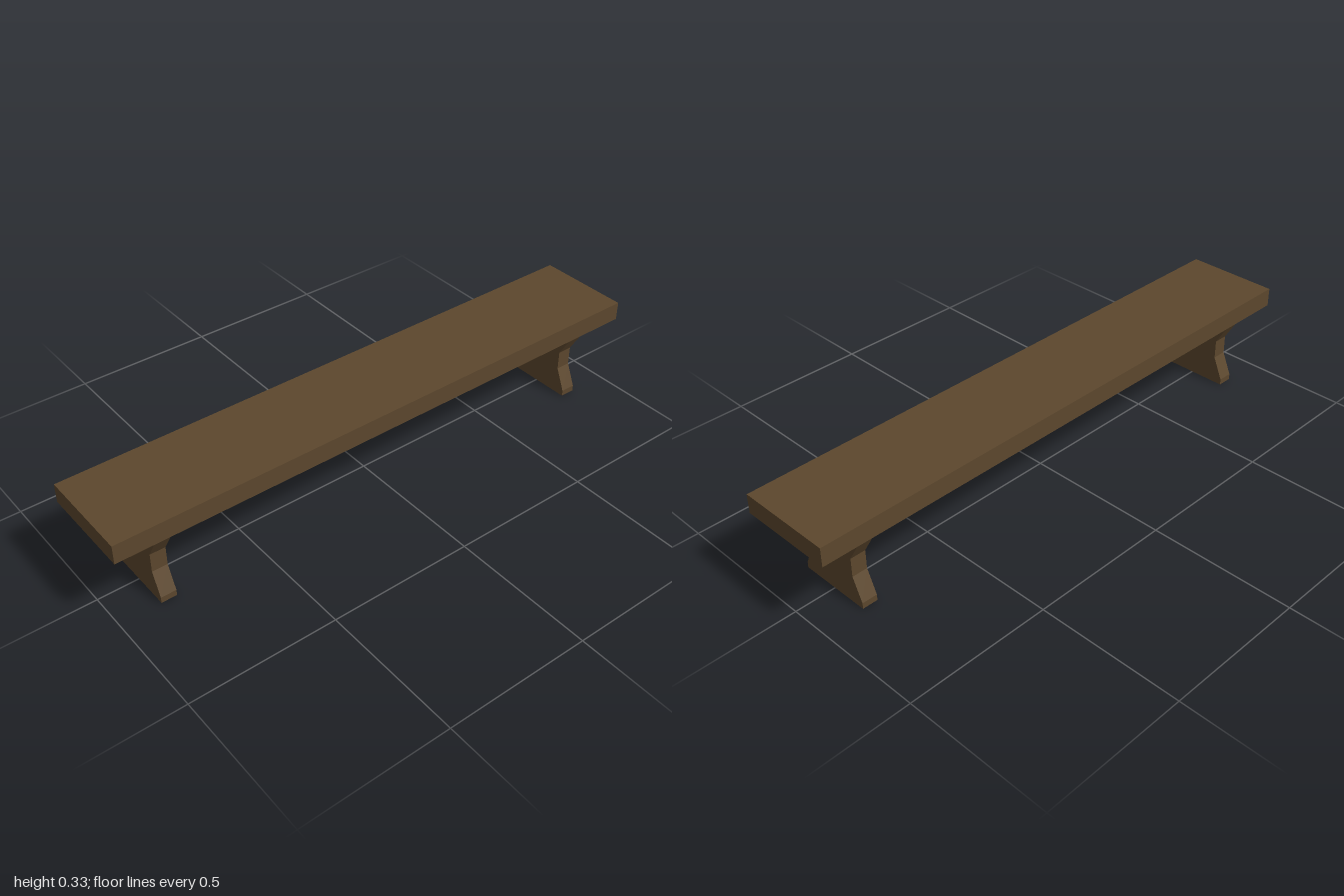
import * as THREE from 'three';

export function createModel() {
  const group = new THREE.Group();
  group.name = 'bench';
  const wood = new THREE.MeshStandardMaterial({ name: 'dark brown wood', color: 0x5c472d });

  // Plank seat
  const top = 0.333, underside = 0.267;
  const seat = new THREE.Mesh(new THREE.BoxGeometry(2, top - underside, 0.333), wood);
  seat.name = 'seat';
  seat.position.y = (top + underside) / 2;
  group.add(seat);

  // Waisted leg board: half-width and height, mirrored about the middle
  const profile = [
    [0.129, 0], [0.129, 0.021], [0.094, 0.1],
    [0.094, 0.167], [0.145, 0.254], [0.145, underside],
  ];
  const outline = [
    ...profile.map(([w, y]) => new THREE.Vector2(w, y)),
    ...profile.map(([w, y]) => new THREE.Vector2(-w, y)).reverse(),
  ];
  const thickness = 0.053;
  const legGeometry = new THREE.ExtrudeGeometry(new THREE.Shape(outline), {
    depth: thickness, bevelEnabled: false,
  });
  legGeometry.translate(0, 0, -thickness / 2).rotateY(Math.PI / 2);

  // One leg near each end
  for (const side of [-1, 1]) {
    const leg = new THREE.Mesh(legGeometry, wood);
    leg.name = side > 0 ? 'leftLeg' : 'rightLeg';
    leg.position.x = side * 0.832;
    group.add(leg);
  }
  return group;
}
